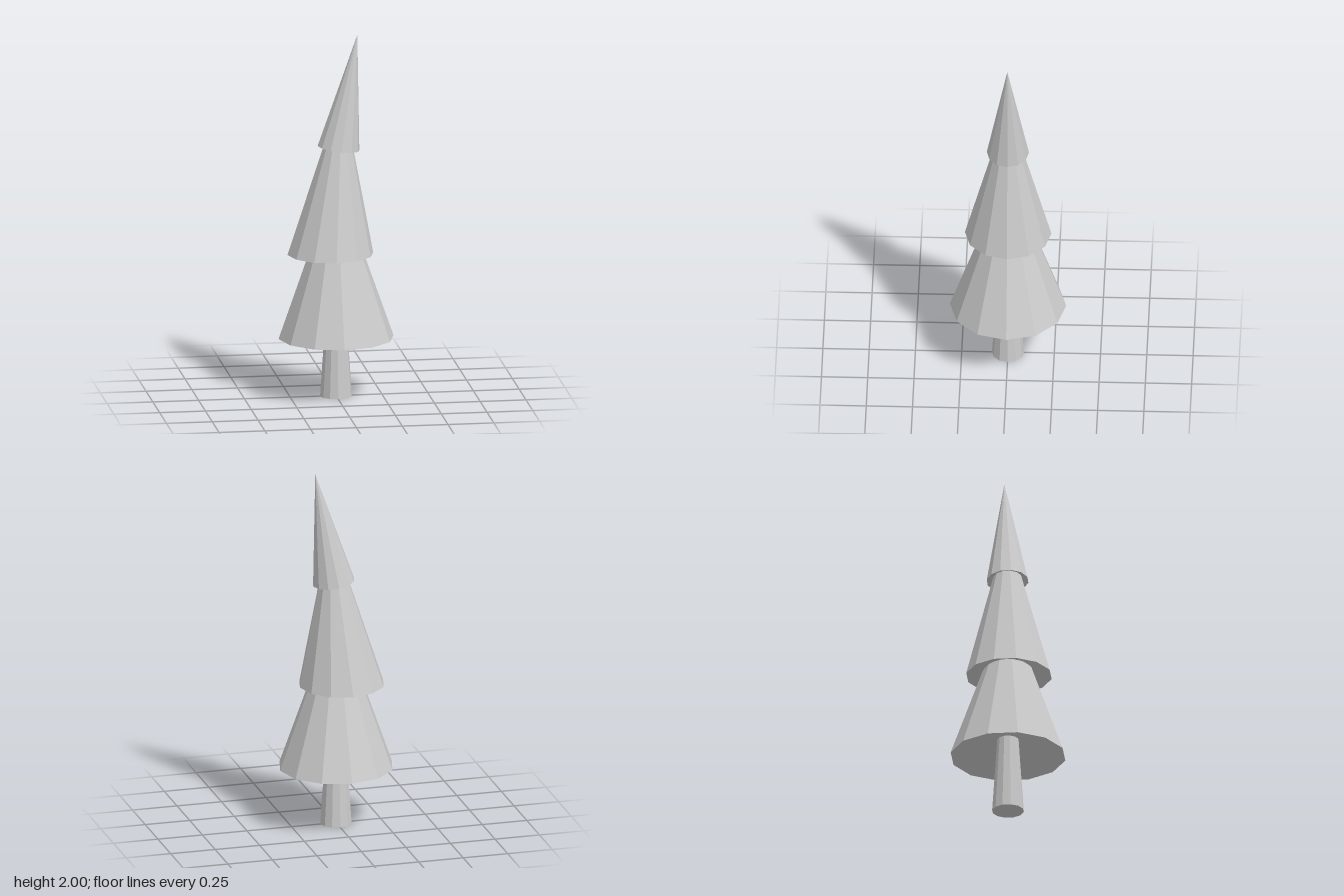
import * as THREE from 'three';

const SIDES = 12;
const material = new THREE.MeshStandardMaterial({ color: 0xcccccc, flatShading: true });

// Faceted branch skirt with a hollowed underside; leans along x, its rim may tilt
function branchLayer(name, { x, y, radius, topRadius, height, recess, lean = 0, tilt = 0 }) {
  const profile = [
    new THREE.Vector2(0, recess),
    new THREE.Vector2(radius, 0),
    new THREE.Vector2(topRadius, height),
  ];
  if (topRadius > 0) profile.push(new THREE.Vector2(0, height));
  const geometry = new THREE.LatheGeometry(profile, SIDES);
  const pos = geometry.attributes.position;
  for (let i = 0; i < pos.count; i++) {
    const px = pos.getX(i), py = pos.getY(i);
    pos.setXY(i, px + lean * py, py + tilt * px);
  }
  geometry.computeVertexNormals();
  const mesh = new THREE.Mesh(geometry, material);
  mesh.name = name;
  mesh.position.set(x, y, 0);
  return mesh;
}

export function createModel() {
  const tree = new THREE.Group();
  tree.name = 'pineTree';

  // Tapered trunk, running up into the lowest layer
  const trunk = new THREE.Mesh(new THREE.CylinderGeometry(0.056, 0.087, 0.46, SIDES), material);
  trunk.name = 'trunk';
  trunk.position.y = 0.23;
  tree.add(trunk);

  // Three stacked layers, bending towards +x at the tip
  tree.add(
    branchLayer('lowerBranches', { x: 0, y: 0.325, radius: 0.314, topRadius: 0.11, height: 0.58, recess: 0.12 }),
    branchLayer('middleBranches', { x: -0.031, y: 0.79, radius: 0.234, topRadius: 0.061, height: 0.67, recess: 0.1, lean: 0.071 }),
    branchLayer('treeTop', { x: 0.0135, y: 1.375, radius: 0.114, topRadius: 0, height: 0.625, recess: 0.06, lean: 0.165, tilt: -0.13 }),
  );
  return tree;
}
